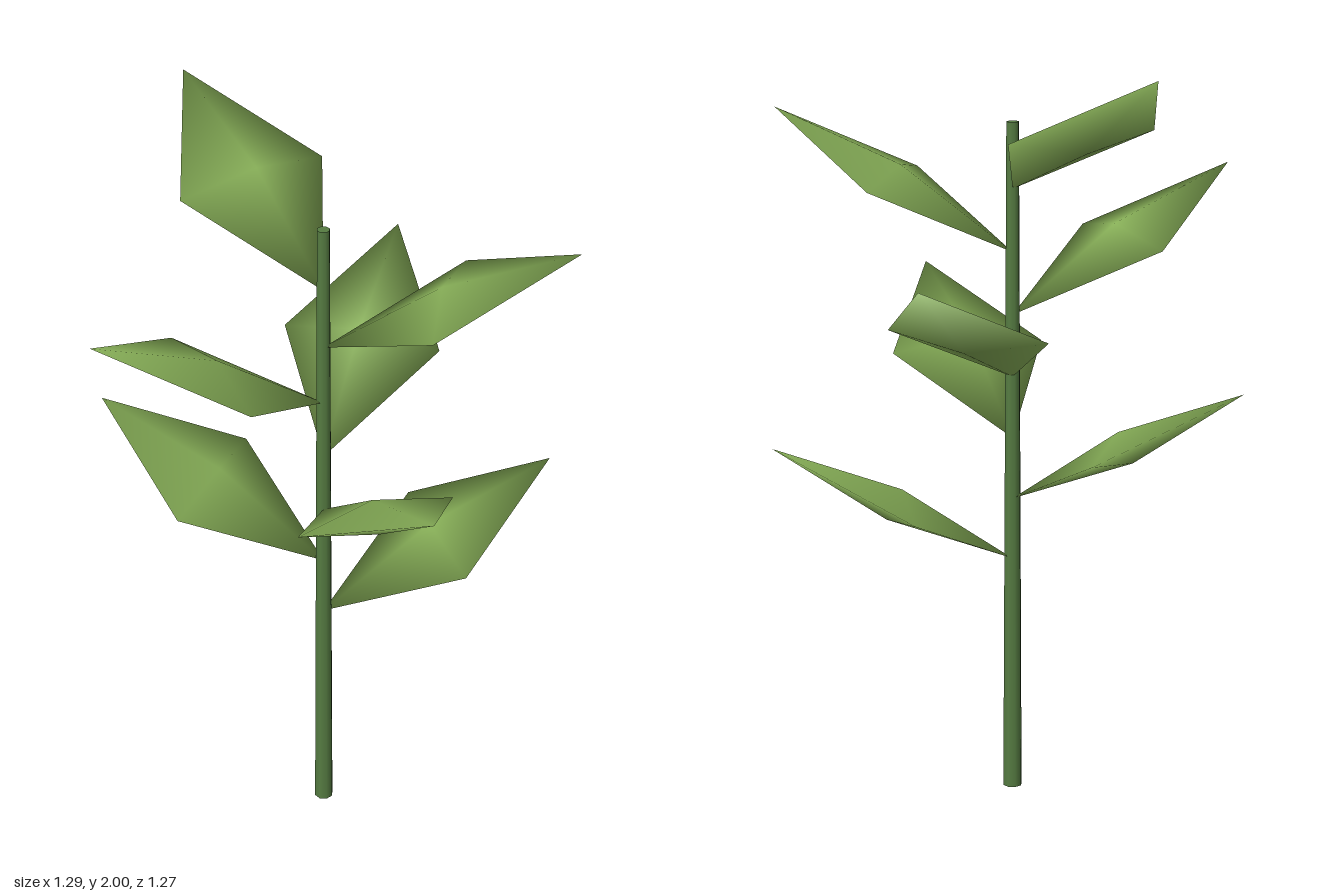
import * as THREE from 'three';

const leafGreen = new THREE.MeshStandardMaterial({ color: 0x88b058 });
leafGreen.name = 'leaf green';
const stemGreen = new THREE.MeshStandardMaterial({ color: 0x567c42 });
stemGreen.name = 'stem green';

const LEAF_COUNT = 7;
const LEAF_LENGTH = 0.74;
const LEAF_TILT = 0.5;
const GOLDEN_ANGLE = THREE.MathUtils.degToRad(137.5);

// Thin eight-faced leaf blade with smooth normals, its base at the origin, pointing along +x
function leafGeometry() {
  const geometry = new THREE.SphereGeometry(1, 4, 2);
  geometry.rotateZ(-Math.PI / 2);
  geometry.scale(LEAF_LENGTH / 2, 0.045, 0.217);
  geometry.translate(LEAF_LENGTH / 2, 0, 0);
  geometry.rotateZ(LEAF_TILT);
  return geometry;
}

export function createModel() {
  const plant = new THREE.Group();
  plant.name = 'plant';
  plant.position.set(-0.006, 0, -0.01);

  // Tapered stem
  const stem = new THREE.Mesh(new THREE.CylinderGeometry(0.017, 0.026, 1.82, 8), stemGreen);
  stem.name = 'stem';
  stem.position.y = 0.91;
  plant.add(stem);

  // Leaves spiral up the stem by the golden angle
  const blade = leafGeometry();
  for (let i = 0; i < LEAF_COUNT; i++) {
    const leaf = new THREE.Mesh(blade, leafGreen);
    leaf.name = `leaf${i + 1}`;
    leaf.position.y = 0.645 + i / 6;
    leaf.rotation.y = i * GOLDEN_ANGLE;
    plant.add(leaf);
  }

  const model = new THREE.Group();
  model.name = 'model';
  model.add(plant);
  return model;
}
